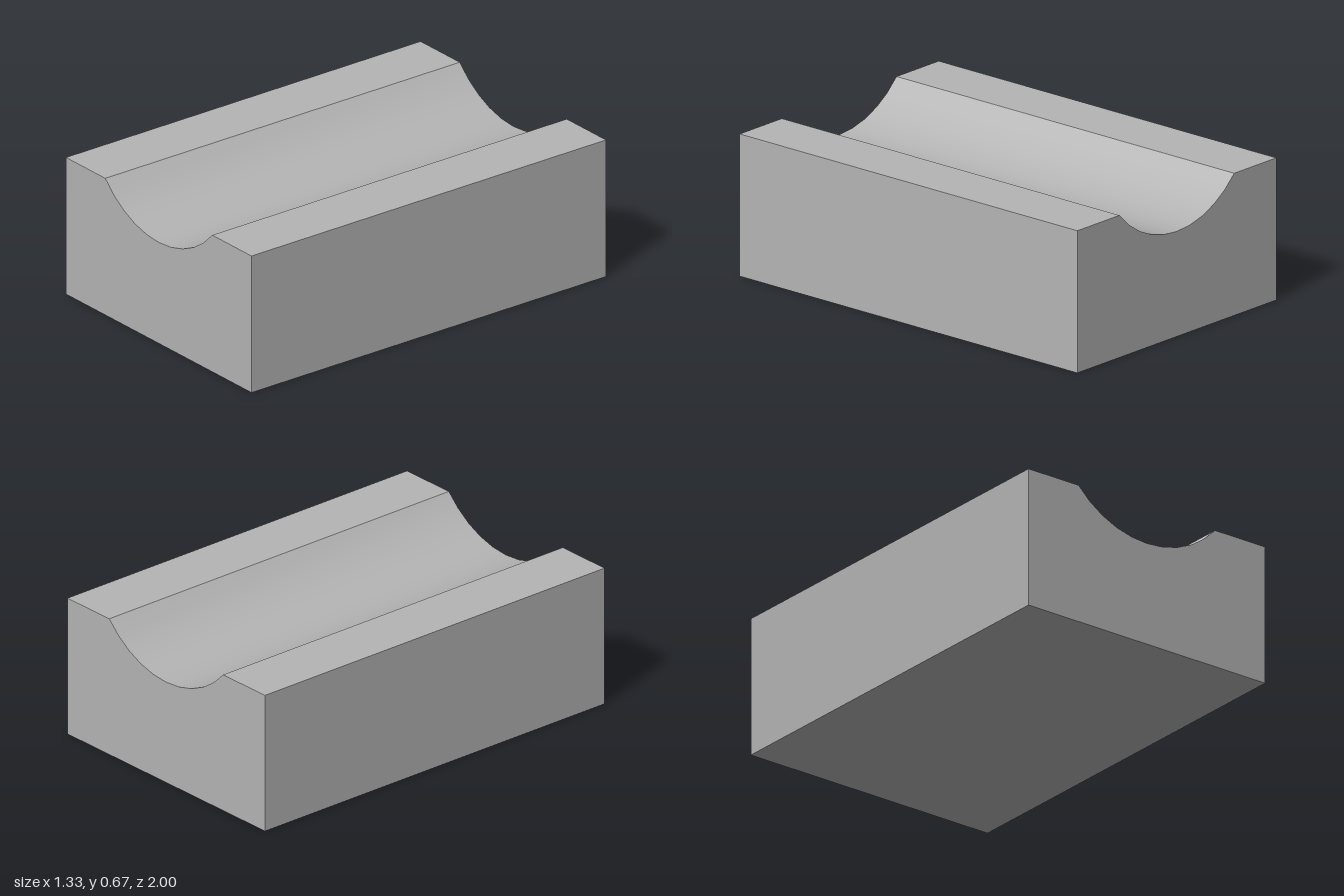
import * as THREE from 'three';
import { toCreasedNormals } from 'three/addons/utils/BufferGeometryUtils.js';

const WIDTH = 1.333, HEIGHT = 0.667, LENGTH = 2;
const GROOVE_HALF = 0.384, GROOVE_DEPTH = 0.174, GROOVE_STEPS = 10;

export function createModel() {
  const group = new THREE.Group();
  group.name = 'groovedBlock';
  const grey = new THREE.MeshStandardMaterial({ color: 0xb4b4b4 });
  grey.name = 'plain grey';

  // Cross-section: a rectangle with a circular arc cut from its top
  const radius = (GROOVE_HALF ** 2 + GROOVE_DEPTH ** 2) / (2 * GROOVE_DEPTH);
  const centreY = HEIGHT - GROOVE_DEPTH + radius;
  const halfAngle = Math.asin(GROOVE_HALF / radius);
  const profile = new THREE.Shape();
  profile.moveTo(-WIDTH / 2, 0);
  profile.lineTo(WIDTH / 2, 0);
  profile.lineTo(WIDTH / 2, HEIGHT);
  for (let i = 0; i <= GROOVE_STEPS; i++) {
    const a = halfAngle * (1 - (2 * i) / GROOVE_STEPS);
    profile.lineTo(radius * Math.sin(a), centreY - radius * Math.cos(a));
  }
  profile.lineTo(-WIDTH / 2, HEIGHT);
  profile.closePath();

  // Block run along z, smooth inside the groove and sharp at its edges
  const geometry = new THREE.ExtrudeGeometry(profile, { depth: LENGTH, bevelEnabled: false, steps: 1 });
  geometry.translate(0, 0, -LENGTH / 2);
  geometry.clearGroups();
  const block = new THREE.Mesh(toCreasedNormals(geometry, 0.5), grey);
  block.name = 'blockWithGroove';
  group.add(block);
  return group;
}
